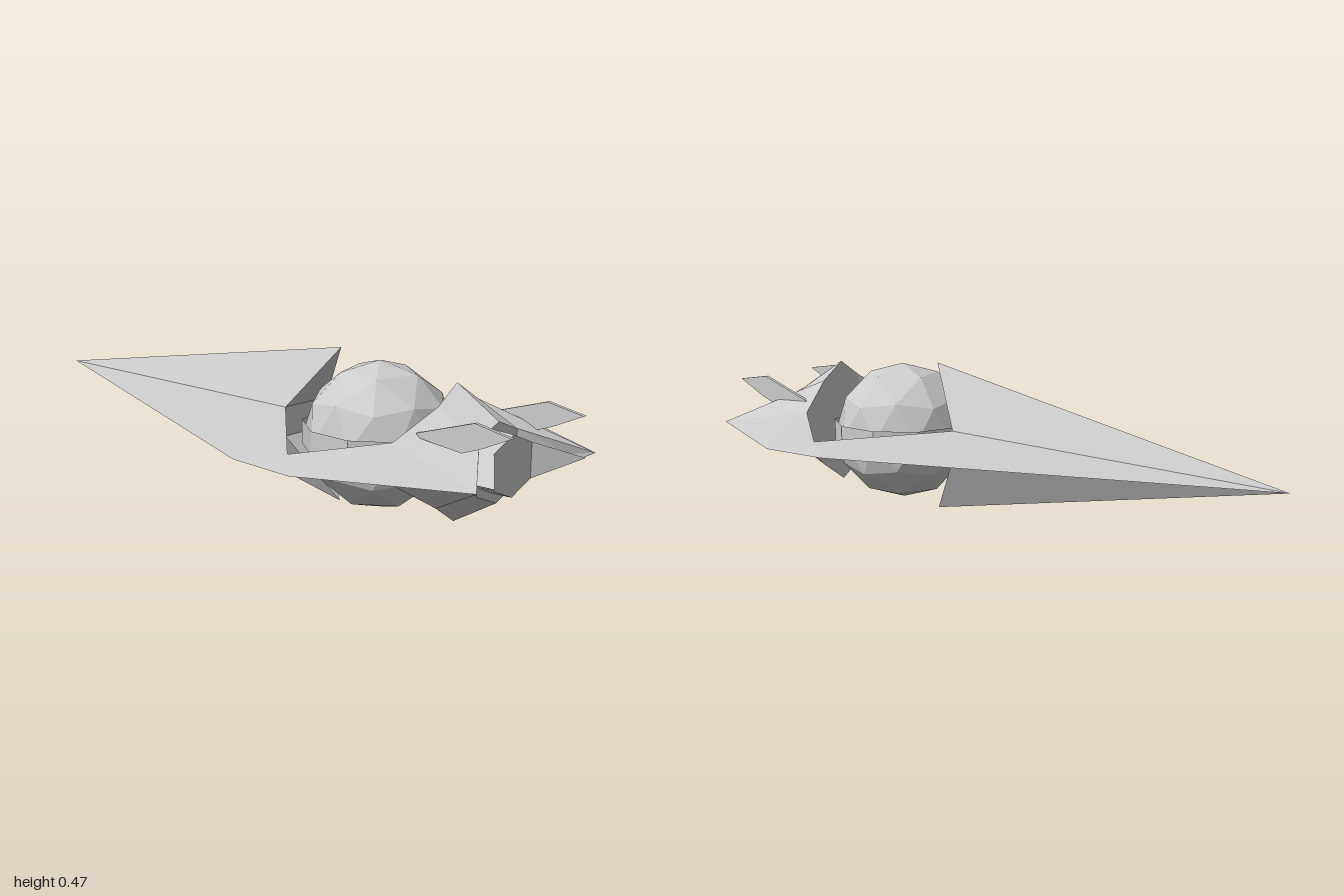
import * as THREE from 'three';

const MID = 0.235; // height of the horizontal symmetry plane
const material = () => new THREE.MeshStandardMaterial({ color: 0xcccccc, flatShading: true, side: THREE.DoubleSide });

// Polygons of the upper left quarter [x, height above MID, z], mirrored in x and y
function quarterMesh(name, polygons) {
  const positions = [];
  for (const sx of [1, -1]) for (const sy of [1, -1]) {
    for (const poly of polygons) {
      const p = sx * sy > 0 ? poly : [...poly].reverse();
      for (let i = 1; i < p.length - 1; i++) {
        for (const [x, y, z] of [p[0], p[i], p[i + 1]]) positions.push(sx * x, MID + sy * y, z);
      }
    }
  }
  const geometry = new THREE.BufferGeometry();
  geometry.setAttribute('position', new THREE.Float32BufferAttribute(positions, 3));
  geometry.computeVertexNormals();
  const mesh = new THREE.Mesh(geometry, material());
  mesh.name = name;
  return mesh;
}

const flat = ([x, , z]) => [x, 0, z];

export function createModel() {
  const group = new THREE.Group();
  group.name = 'spaceship';

  // Sharp outer edge: tail tip, two side corners, front corner
  const tail = [0, 0, -1], sideA = [0.48, 0, 0.3], sideB = [0.49, 0, 0.52], corner = [0.27, 0, 0.97];
  // Edge of the central opening, from the tail side to the nose
  const inner = [[0.09, 0.045, 0.12], [0.39, 0.02, 0.42], [0.21, 0.06, 0.64], [0.08, 0.145, 0.69], [0, 0.2, 0.69]];
  // Front lip, the seam of the nose panel, and the panel's raised edge
  const lip = [[0, 0.115, 0.835], [0.085, 0.08, 0.835], corner];
  const seam = [[0, 0.09, 0.835], [0.085, 0.054, 0.835], [0.21, 0, 0.922]];
  const panel = [[0, 0.088, 0.885], [0.085, 0.052, 0.885], [0.207, 0, 0.98]];

  // Ring-shaped hull
  const hull = [
    [tail, inner[0], sideA],
    [inner[0], inner[1], sideA],
    [sideA, inner[1], sideB],
    [sideB, inner[1], inner[2]],
    [sideB, inner[2], corner],
    [corner, inner[2], inner[3], lip[1]],
    [lip[1], inner[3], inner[4], lip[0]],
  ];
  for (let i = 0; i < 4; i++) hull.push([inner[i], flat(inner[i]), flat(inner[i + 1]), inner[i + 1]]);
  for (let i = 0; i < 2; i++) hull.push([lip[i], seam[i], seam[i + 1], lip[i + 1]]);
  group.add(quarterMesh('hull', hull));

  // Raised nose panel with folded sides
  const nose = [
    [panel[0], flat(panel[0]), flat(panel[1]), panel[1]],
    [panel[1], flat(panel[1]), panel[2]],
  ];
  for (let i = 0; i < 2; i++) nose.push([seam[i], panel[i], panel[i + 1], seam[i + 1]]);
  group.add(quarterMesh('nosePanel', nose));

  // Tail fins above and below, leaning forward over the opening
  const peak = [0, 0.235, 0.26], foot = [0, 0.045, 0.12];
  group.add(quarterMesh('tailFins', [
    [tail, peak, inner[0]],
    [peak, foot, inner[0]],
    [foot, flat(foot), flat(inner[0]), inner[0]],
  ]));

  // Faceted core sphere with a vertex at the top
  const sphere = new THREE.IcosahedronGeometry(0.22, 1);
  sphere.rotateX(-Math.atan((1 + Math.sqrt(5)) / 2)).rotateY(Math.PI / 2);
  const core = new THREE.Mesh(sphere, material());
  core.name = 'core';
  core.position.set(0, MID, 0.41);
  group.add(core);

  // Thin ten-sided band around the core
  const band = new THREE.Mesh(new THREE.CylinderGeometry(0.224, 0.224, 0.07, 10, 1, true), material());
  band.name = 'coreBand';
  band.position.copy(core.position);
  group.add(band);

  // Upright blades on the nose
  const outline = [[1, 0.365], [0.88, 0.385], [0.685, 0.322], [0.7, 0.31], [0.84, 0.296], [0.9, 0.318]];
  const shape = new THREE.Shape(outline.map(([z, y]) => new THREE.Vector2(-z, y)));
  const blade = new THREE.ExtrudeGeometry(shape, { depth: 0.012, bevelEnabled: false });
  blade.translate(0, 0, -0.006).rotateY(Math.PI / 2);
  for (const side of [1, -1]) {
    const mesh = new THREE.Mesh(blade, material());
    mesh.name = side > 0 ? 'leftBlade' : 'rightBlade';
    mesh.position.x = side * 0.162;
    group.add(mesh);
  }
  return group;
}
